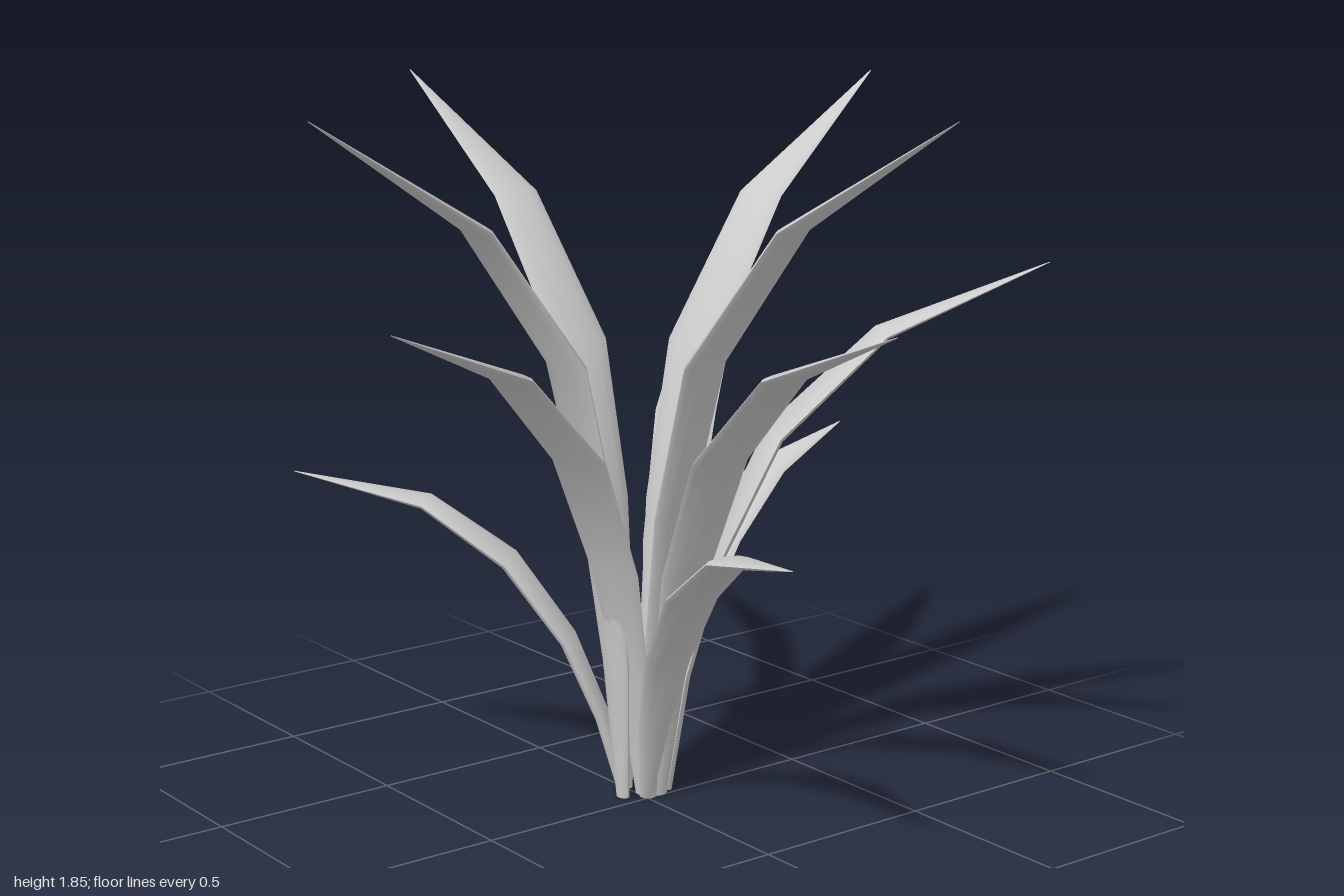
import * as THREE from 'three';

const material = new THREE.MeshStandardMaterial({ color: 0xcccccc });

// Shared blade taper from root to tip: [half width, half thickness]
const taper = [[0.022, 0.015], [0.052, 0.018], [0.076, 0.02], [0.087, 0.02], [0.072, 0.016], [0.002, 0.001]];

// Three tiers of blades: spine as [outward, height], and the tip positions [x, z]
const tiers = [
  {
    name: 'tallLeaf', center: [-0.05, 0], width: 1,
    spine: [[0.045, 0.01], [0.067, 0.38], [0.12, 0.79], [0.22, 1.2], [0.485, 1.565], [0.945, 1.86]],
    tips: [[-0.99, 0.07], [-0.21, -0.93], [-0.05, 0.94], [0.87, -0.25]],
  },
  {
    name: 'middleLeaf', center: [-0.05, -0.05], width: 0.97,
    spine: [[0.04, 0.01], [0.085, 0.33], [0.17, 0.65], [0.325, 0.975], [0.605, 1.235], [1.05, 1.41]],
    tips: [[-0.68, -0.91], [0.46, -0.96], [0.99, 0.05], [0.29, 0.95]],
  },
  {
    name: 'lowLeaf', center: [-0.05, -0.01], width: 0.85,
    spine: [[0.045, 0.015], [0.1, 0.22], [0.19, 0.43], [0.345, 0.64], [0.565, 0.79], [0.92, 0.86]],
    tips: [[-0.70, 0.64], [0.84, 0.22], [-0.28, -0.90]],
  },
];

// Lens-section blade swept along its spine, with sharp side edges and a closed root
function bladeGeometry(spine, width) {
  const positions = [];
  const index = [];
  const across = 6;
  const row = across + 1;
  for (const side of [1, -1]) {
    const start = positions.length / 3;
    spine.forEach(([x, y], i) => {
      const a = spine[Math.max(i - 1, 0)];
      const b = spine[Math.min(i + 1, spine.length - 1)];
      const length = Math.hypot(b[0] - a[0], b[1] - a[1]);
      const nx = -(b[1] - a[1]) / length;
      const ny = (b[0] - a[0]) / length;
      const [halfWidth, halfThick] = taper[i];
      for (let j = 0; j <= across; j++) {
        const angle = (j / across - 0.5) * Math.PI;
        const lift = side * halfThick * Math.cos(angle);
        positions.push(x + nx * lift, y + ny * lift, halfWidth * width * Math.sin(angle));
      }
    });
    for (let i = 0; i < spine.length - 1; i++) {
      for (let j = 0; j < across; j++) {
        const a = start + i * row + j;
        const b = a + row;
        if (side > 0) index.push(a, a + 1, b, a + 1, b + 1, b);
        else index.push(a, b, a + 1, a + 1, b, b + 1);
      }
    }
  }
  // Root cap, with its own vertices for a crisp rim
  const cap = positions.length / 3;
  const lower = spine.length * row;
  for (const start of [0, lower]) {
    for (let j = 0; j < row; j++) {
      const k = (start + j) * 3;
      positions.push(positions[k], positions[k + 1], positions[k + 2]);
    }
  }
  for (let j = 0; j < across; j++) {
    const a = cap + j;
    const b = a + row;
    index.push(a, b, a + 1, a + 1, b, b + 1);
  }
  const geometry = new THREE.BufferGeometry();
  geometry.setAttribute('position', new THREE.Float32BufferAttribute(positions, 3));
  geometry.setIndex(index);
  geometry.computeVertexNormals();
  return geometry;
}

export function createModel() {
  const plant = new THREE.Group();
  plant.name = 'plant';
  for (const { name, center, width, spine, tips } of tiers) {
    const geometry = bladeGeometry(spine, width);
    // Turn each blade of the tier toward its tip
    tips.forEach(([x, z], i) => {
      const leaf = new THREE.Mesh(geometry, material);
      leaf.name = name + (i + 1);
      leaf.position.set(center[0], 0, center[1]);
      leaf.rotation.y = Math.atan2(center[1] - z, x - center[0]);
      plant.add(leaf);
    });
  }
  return plant;
}
